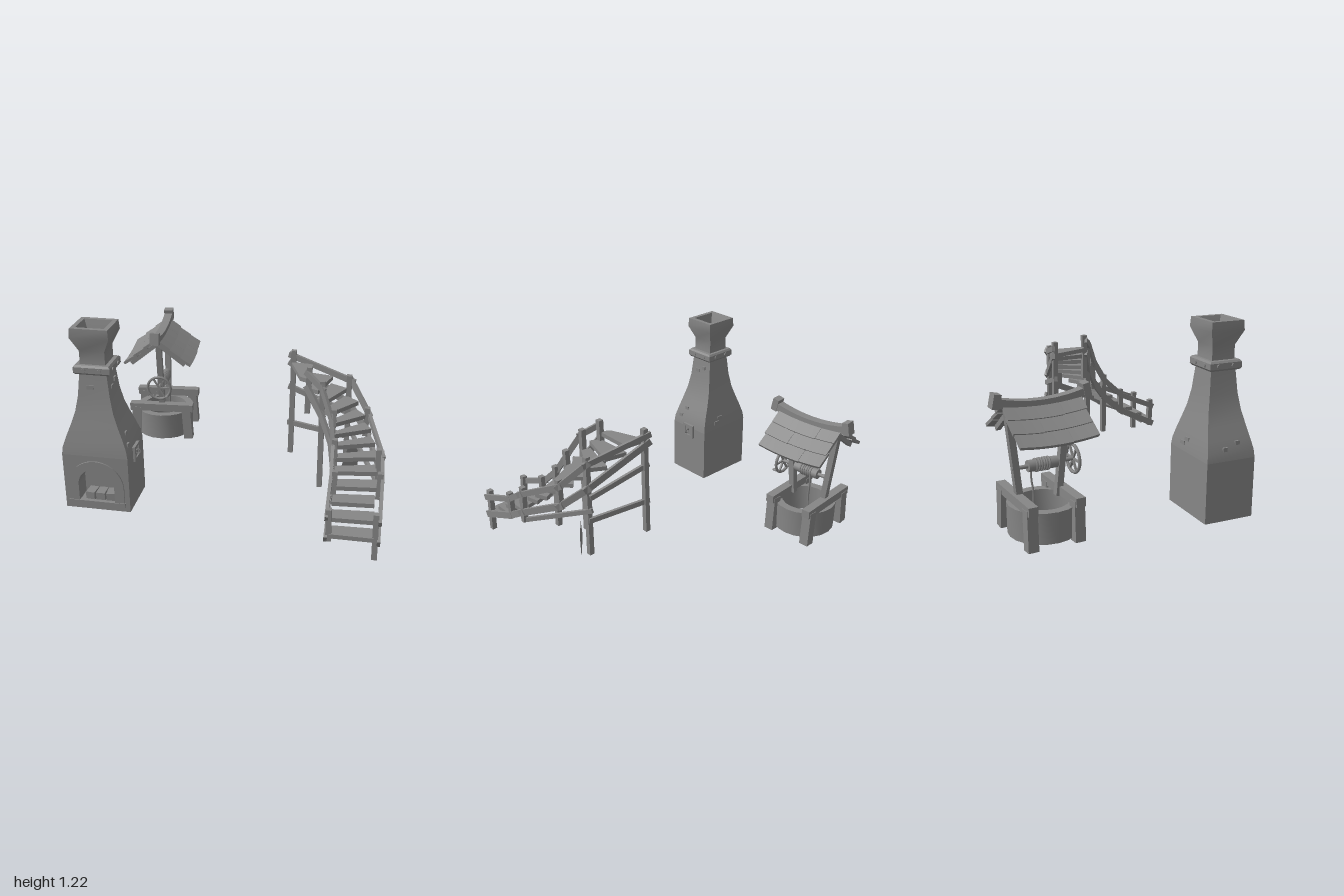
import * as THREE from 'three';
import { toCreasedNormals } from 'three/addons/utils/BufferGeometryUtils.js';

const mat = new THREE.MeshStandardMaterial({ color: 0x868686 });
const matDouble = new THREE.MeshStandardMaterial({ color: 0x868686, side: THREE.DoubleSide });
const V = (x, y, z) => new THREE.Vector3(x, y, z);

function add(parent, name, geo, x = 0, y = 0, z = 0, m = mat) {
  const mesh = new THREE.Mesh(geo, m);
  mesh.name = name;
  mesh.position.set(x, y, z);
  parent.add(mesh);
  return mesh;
}
const box = (parent, name, w, h, d, x, y, z) => add(parent, name, new THREE.BoxGeometry(w, h, d), x, y, z);

// Timber running from a to b, lengthened by extra at both ends
function beam(parent, name, a, b, w, h, extra = 0) {
  const mesh = new THREE.Mesh(new THREE.BoxGeometry(w, h, a.distanceTo(b) + 2 * extra), mat);
  mesh.name = name;
  mesh.position.copy(a).lerp(b, 0.5);
  mesh.lookAt(b);
  parent.add(mesh);
}

// Rectangular rings [y, halfX, halfZ] joined into a skin
function loft(rings) {
  const pos = [];
  const corner = ([y, hx, hz], i) => [[hx, y, hz], [hx, y, -hz], [-hx, y, -hz], [-hx, y, hz]][i % 4];
  for (let r = 0; r < rings.length - 1; r++) {
    for (let i = 0; i < 4; i++) {
      const a = corner(rings[r], i), b = corner(rings[r], i + 1);
      const c = corner(rings[r + 1], i + 1), d = corner(rings[r + 1], i);
      pos.push(...a, ...b, ...c, ...a, ...c, ...d);
    }
  }
  const geo = new THREE.BufferGeometry();
  geo.setAttribute('position', new THREE.Float32BufferAttribute(pos, 3));
  return toCreasedNormals(geo, 0.6);
}

// Round-topped outline
function arch(path, r, bottom, spring) {
  path.moveTo(-r, bottom);
  path.lineTo(r, bottom);
  path.lineTo(r, spring);
  path.absarc(0, spring, r, 0, Math.PI, false);
  path.lineTo(-r, bottom);
  return path;
}

function createOven() {
  const g = new THREE.Group();
  g.name = 'oven';
  g.position.set(-0.788, 0, 0.485);
  const hx = 0.213, hz = 0.165;

  // Shoulders, neck, flared chimney and its inside
  add(g, 'ovenChimney', loft([
    [0.4, hx, hz], [0.45, 0.206, 0.16], [0.52, 0.182, 0.146], [0.6, 0.15, 0.13], [0.68, 0.122, 0.113],
    [0.78, 0.102, 0.097], [0.92, 0.087, 0.085], [1.0, 0.08, 0.077], [1.07, 0.08, 0.077], [1.16, 0.122, 0.112],
    [1.22, 0.118, 0.108], [1.22, 0.09, 0.08], [1.08, 0.045, 0.045], [0.9, 0.045, 0.045], [0.9, 0.001, 0.001],
  ]), 0, 0, 0, matDouble);

  // Straight walls, open at the bottom
  for (const s of [-1, 1]) box(g, 'ovenSideWall', 0.012, 0.38, 2 * hz, s * (hx - 0.006), 0.21, 0);
  box(g, 'ovenBackWall', 2 * hx, 0.38, 0.012, 0, 0.21, -hz + 0.006);
  const wall = new THREE.Shape([[-hx, 0.02], [hx, 0.02], [hx, 0.4], [-hx, 0.4]].map(p => new THREE.Vector2(...p)));
  wall.holes.push(arch(new THREE.Path(), 0.125, 0.08, 0.197));
  add(g, 'ovenFrontWall', new THREE.ExtrudeGeometry(wall, { depth: 0.012, bevelEnabled: false, curveSegments: 16 }), 0, 0, hz - 0.012);

  // Arched mouth, shallow fire chamber and logs
  const frame = arch(new THREE.Shape(), 0.18, 0.07, 0.188);
  frame.holes.push(arch(new THREE.Path(), 0.117, 0.075, 0.197));
  add(g, 'mouthArch', new THREE.ExtrudeGeometry(frame, { depth: 0.03, bevelEnabled: false, curveSegments: 16 }), 0, 0, hz - 0.02);
  const tunnel = arch(new THREE.Shape(), 0.125, 0.07, 0.197);
  tunnel.holes.push(arch(new THREE.Path(), 0.117, 0.08, 0.197));
  add(g, 'fireChamber', new THREE.ExtrudeGeometry(tunnel, { depth: 0.1, bevelEnabled: false, curveSegments: 16 }), 0, 0, 0.055);
  add(g, 'chamberBack', new THREE.ShapeGeometry(arch(new THREE.Shape(), 0.125, 0.07, 0.197)), 0, 0, 0.055, matDouble);
  box(g, 'mouthSill', 0.37, 0.03, 0.03, 0, 0.07, hz);
  [-0.05, 0.015, 0.08].forEach((x, i) => box(g, 'log', 0.058, 0.055, 0.08, x, 0.107, 0.115).rotation.y = 0.08 * (i - 1));

  // Iron collar with bolts on every side
  add(g, 'collar', loft([
    [0.925, 0.085, 0.083], [0.925, 0.106, 0.098], [0.937, 0.116, 0.108], [0.973, 0.116, 0.108], [0.985, 0.106, 0.098], [0.985, 0.075, 0.07],
  ]));
  for (let side = 0; side < 4; side++) {
    const mount = new THREE.Group();
    mount.name = 'collarBolts';
    mount.rotation.y = side * Math.PI / 2;
    for (const x of [-0.05, 0.05]) {
      add(mount, 'bolt', new THREE.CylinderGeometry(0.014, 0.014, 0.016, 8), x, 0.955, side % 2 ? 0.115 : 0.107).rotation.x = Math.PI / 2;
    }
    g.add(mount);
  }

  // Small iron hatch on the side
  for (const s of [-1, 1]) {
    box(g, 'hatchFrame', 0.03, 0.1, 0.018, hx, 0.375, s * 0.042);
    box(g, 'hatchFrame', 0.03, 0.018, 0.1, hx, 0.375 + s * 0.042, 0);
  }
  box(g, 'hatchDoor', 0.012, 0.08, 0.08, hx, 0.375, 0);
  add(g, 'hatchHandle', new THREE.TorusGeometry(0.016, 0.005, 5, 10), hx + 0.02, 0.375, 0);

  // Bricks showing through the plaster
  const bricks = [[-0.02, 0.84, 0.082], [0.08, 0.83, 0.03], [0.08, 0.86, -0.03], [0.16, 0.53, 0.06],
    [0.184, 0.47, 0.1], [-0.184, 0.47, -0.04], [0.08, 0.45, -0.15], [0.04, 0.48, -0.143], [-0.174, 0.5, 0.05]];
  for (const [x, y, z] of bricks) box(g, 'brick', 0.045, 0.025, 0.03, x, y, z);
  return g;
}

function createWell() {
  const g = new THREE.Group();
  g.name = 'well';
  g.position.set(-0.67, 0, -0.585);
  g.rotation.y = 0.075;

  // Hollow stone ring
  const ring = [[0.16, 0.02], [0.21, 0.02], [0.213, 0.21], [0.16, 0.21], [0.16, 0.02]].map(p => new THREE.Vector2(...p));
  add(g, 'stoneRing', toCreasedNormals(new THREE.LatheGeometry(ring, 20), 0.6), 0, 0, 0, matDouble);

  // Base frame and roof posts at both ends: [side, frame z, post foot z, post head z]
  for (const [s, z, foot, head] of [[1, 0.13, 0.1, 0.16], [-1, -0.165, -0.145, -0.21]]) {
    box(g, 'crossBeam', 0.47, 0.055, 0.058, 0, 0.25, z);
    for (const t of [-1, 1]) beam(g, 'leg', V(t * 0.2, 0.005, z), V(t * 0.185, 0.25, z), 0.065, 0.065);
    beam(g, 'roofPost', V(0, 0.22, foot), V(0, 0.79, head), 0.04, 0.04);
    for (const t of [-1, 1]) beam(g, 'rafter', V(0, 0.775, s * 0.19), V(t * 0.195, 0.62, s * 0.19), 0.03, 0.03);
    const tip = box(g, 'ridgeEnd', 0.065, 0.085, 0.045, 0, 0.84, s * 0.28);
    tip.rotation.x = -s * 0.2;
  }

  // Sagging ridge beam
  const ridge = new THREE.BoxGeometry(0.058, 0.055, 0.58, 1, 1, 8);
  sag(ridge, 0, 0.5);
  add(g, 'ridgeBeam', ridge, 0, 0.792, 0);

  // Overlapping roof planks that follow the sag
  const steps = [[0.005, 0.798], [0.08, 0.734], [0.155, 0.674], [0.228, 0.618]];
  const cuts = [[-0.245, -0.1, 0.245], [-0.24, 0.06, 0.248], [-0.245, -0.08, 0.24]];
  for (const s of [-1, 1]) {
    cuts.forEach((cut, r) => {
      const [x0, y0] = steps[r], [x1, y1] = steps[r + 1];
      for (let i = 0; i < cut.length - 1; i++) {
        const len = cut[i + 1] - cut[i], mid = (cut[i] + cut[i + 1]) / 2;
        const plank = new THREE.BoxGeometry(Math.hypot(x1 - x0, y1 - y0) + 0.022 + 0.008 * (i % 2), 0.02, len - 0.002, 1, 1, 5);
        plank.rotateZ(Math.atan2(y1 - y0, x1 - x0) + 0.08);
        sag(plank, mid, 0.3);
        if (s < 0) plank.rotateY(Math.PI);
        add(g, 'roofPlank', plank, s * (x0 + x1) / 2, (y0 + y1) / 2, s * mid);
      }
    });
  }

  // Windlass with rope and hand wheel
  const rod = (name, r, len, z) => add(g, name, new THREE.CylinderGeometry(r, r, len, 12), 0, 0.43, z).rotation.x = Math.PI / 2;
  rod('axle', 0.012, 0.4, 0.008);
  rod('drum', 0.035, 0.185, 0);
  for (let i = 0; i < 6; i++) {
    add(g, 'ropeCoil', new THREE.TorusGeometry(0.036, 0.006, 6, 14), 0, 0.43, -0.045 + i * 0.016).rotation.x = 0.1 * (i % 2);
  }
  const rope = new THREE.CatmullRomCurve3([V(0.038, 0.43, -0.05), V(0.038, 0.33, -0.053), V(0.03, 0.26, -0.045), V(0.03, 0.1, -0.05)]);
  add(g, 'rope', new THREE.TubeGeometry(rope, 12, 0.006, 6));
  add(g, 'handWheel', new THREE.TorusGeometry(0.085, 0.01, 6, 20), 0, 0.43, 0.2);
  for (let i = 0; i < 3; i++) box(g, 'wheelSpoke', 0.17, 0.012, 0.012, 0, 0.43, 0.2).rotation.z = i * Math.PI / 3;
  add(g, 'wheelGrip', new THREE.CylinderGeometry(0.009, 0.009, 0.05, 8), 0.06, 0.37, 0.215).rotation.x = Math.PI / 2;
  return g;
}

// Lift vertices with the square of their distance from the middle
function sag(geo, mid, k) {
  const p = geo.attributes.position;
  for (let i = 0; i < p.count; i++) p.setY(i, p.getY(i) + k * (p.getZ(i) + mid) ** 2);
  geo.computeVertexNormals();
}

function createStairs() {
  const g = new THREE.Group();
  g.name = 'stairs';
  const count = 13, height = i => 0.125 + i * 0.0565;
  const curve = pts => new THREE.CatmullRomCurve3(pts.map(([x, z]) => V(x, 0, z)));
  const inner = curve([[0.695, 0.87], [0.695, 0.68], [0.695, 0.5], [0.68, 0.385], [0.645, 0.315], [0.56, 0.235], [0.43, 0.16]]);
  const outer = curve([[0.955, 0.87], [0.955, 0.66], [0.95, 0.46], [0.915, 0.285], [0.825, 0.12], [0.65, -0.025], [0.345, -0.08]]);
  const at = (c, i) => c.getPoint(Math.min(i / count, 1));

  // Wedge-shaped treads, slightly uneven at the ends
  for (let i = 0; i < count; i++) {
    const a = at(inner, i), b = at(outer, i), c = at(outer, i + 1.1), d = at(inner, i + 1.1);
    const k = 0.015 * (i % 3);
    const s = new THREE.Shape([a, b.lerp(a, k), c.lerp(d, k), d].map(p => new THREE.Vector2(p.x, -p.z)));
    const tread = new THREE.ExtrudeGeometry(s, { depth: 0.028, bevelEnabled: false });
    tread.rotateX(-Math.PI / 2);
    add(g, 'tread', tread, 0, height(i), 0);
  }

  // Posts with rails and stringers on both edges: [step, foot height, rail height, stringer height]
  const sides = [
    [inner, 0, -0.018, [[0.25, 0.1, 0.265, 0.125], [3.2, 0.25, 0.375, 0.25], [5.4, 0.1, 0.51, 0.375],
      [8, 0.46, 0.66, 0.5], [10.2, 0.11, 0.81, 0.63], [12.1, 0.6, 0.87, 0.77]]],
    [outer, 0.012, 0.03, [[0.25, 0, 0.26, 0.125], [3.2, 0.24, 0.37, 0.245], [4.7, 0.25, 0.46, 0.325],
      [8.2, 0.45, 0.6, 0.46], [9.9, 0.1, 0.76, 0.59], [12.9, 0.16, 0.865, 0.81]]],
  ];
  for (const [c, postOffset, railOffset, posts] of sides) {
    const spot = (i, offset, y) => at(c, i).addScaledVector(at(outer, i).sub(at(inner, i)).normalize(), offset).setY(y);
    posts.forEach(([i, foot, rail, stringer], k) => {
      const head = spot(i, postOffset, rail + 0.045);
      head.x += k % 2 ? 0.006 : -0.006;
      beam(g, 'post', spot(i, postOffset, foot), head, 0.034, 0.034);
      if (!k) return;
      const [j, , lowRail, lowStringer] = posts[k - 1];
      beam(g, 'handrail', spot(j, railOffset, lowRail), spot(i, railOffset, rail), 0.02, 0.038, 0.025);
      beam(g, 'stringer', spot(j, railOffset, lowStringer), spot(i, railOffset, stringer), 0.02, 0.045, 0.025);
    });
  }

  // Braces between the tall posts
  beam(g, 'brace', V(0.34, 0.385, -0.09), V(0.74, 0.36, 0.0), 0.02, 0.035, 0.01);
  beam(g, 'brace', V(0.34, 0.65, -0.09), V(0.73, 0.53, -0.01), 0.02, 0.035, 0.01);
  beam(g, 'brace', V(0.96, 0.26, 0.43), V(0.74, 0.435, -0.01), 0.02, 0.03, 0.01);

  // Thin loose panel beside the outer post
  const panel = new THREE.BufferGeometry();
  const corners = [[0.085, 0.33], [-0.005, 0.28], [0.015, 0.11], [0.14, 0.165]].map(([z, y]) => [0.83 - 0.85 * z, y, z]);
  panel.setAttribute('position', new THREE.Float32BufferAttribute(corners.flat(), 3));
  panel.setIndex([0, 2, 1, 0, 3, 2]);
  panel.computeVertexNormals();
  add(g, 'loosePanel', panel, 0, 0, 0, matDouble);
  return g;
}

export function createModel() {
  const model = new THREE.Group();
  model.name = 'villageSet';
  model.add(createOven(), createWell(), createStairs());
  return model;
}
